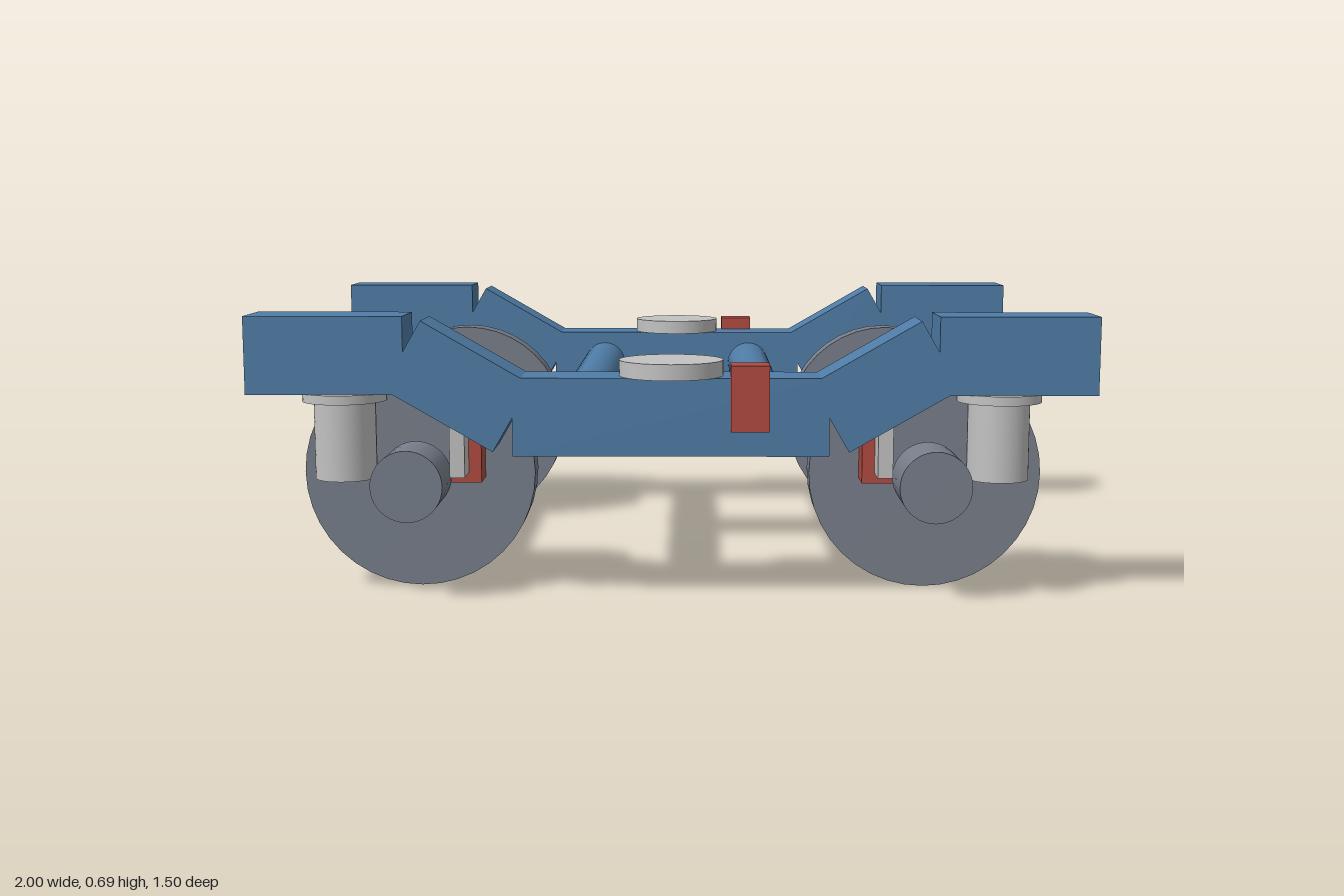
import * as THREE from 'three';

export function createModel() {
  const root = new THREE.Group();
  root.name = 'railBogie';

  const material = (name, color) => {
    const m = new THREE.MeshStandardMaterial({ color });
    m.name = name;
    return m;
  };
  const blue = material('frameBlue', 0x4f7ca6);
  const steel = material('wheelSteel', 0x777e8a);
  const silver = material('springSilver', 0xc2c2c2);
  const red = material('brakeRed', 0xb04a40);

  const add = (name, geometry, mat, x, y, z) => {
    const mesh = new THREE.Mesh(geometry, mat);
    mesh.name = name;
    mesh.position.set(x, y, z);
    root.add(mesh);
    return mesh;
  };
  const box = (name, mat, size, pos) => add(name, new THREE.BoxGeometry(...size), mat, ...pos);
  const cylinder = (name, mat, radius, length, pos, alongZ = false) => {
    const geometry = new THREE.CylinderGeometry(radius, radius, length, 40);
    if (alongZ) geometry.rotateX(Math.PI / 2);
    return add(name, geometry, mat, ...pos);
  };

  const frameZ = 0.625, frameW = 0.145, frameH = 0.185;
  const axleX = 0.625, axleY = 0.287;

  for (const sz of [-1, 1]) {
    const z = sz * frameZ;

    // Side frame centre, pivot pad and damper
    box('frameCentre', blue, [0.745, frameH, frameW], [0, 0.453, z]);
    cylinder('pivotPad', silver, 0.124, 0.038, [0, 0.564, z]);
    box('damper', red, [0.09, 0.155, 0.075], [0.185, 0.503, sz * 0.711]);

    for (const sx of [-1, 1]) {
      // Cranked ends of the side frame
      box('frameEnd', blue, [0.373, frameH, frameW], [sx * 0.8135, 0.5975, z]);
      const slope = box('frameSlope', blue, [0.298, frameH, frameW], [sx * 0.502, 0.525, z]);
      slope.rotation.z = sx * Math.PI / 6;

      // Suspension spring with its seat
      cylinder('spring', silver, 0.073, 0.205, [sx * 0.78, 0.4, z]);
      cylinder('springSeat', silver, 0.1, 0.022, [sx * 0.78, 0.495, z]);

      // Wheel, axle box and brake
      cylinder('wheel', steel, 0.286, 0.08, [sx * axleX, axleY, sz * 0.45], true);
      cylinder('axleBox', steel, 0.086, 0.158, [sx * axleX, axleY, z], true);
      box('brakeShoe', red, [0.075, 0.18, 0.09], [sx * 0.5, 0.365, sz * 0.525]);
      box('brakeHanger', silver, [0.036, 0.15, 0.075], [sx * 0.511, 0.375, sz * 0.61]);
    }
  }

  for (const sx of [-1, 1]) {
    // Axles and the cross tubes joining the side frames
    cylinder('axle', steel, 0.042, 1.11, [sx * axleX, axleY, 0], true);
    cylinder('crossTube', blue, 0.061, 1.15, [sx * 0.22, 0.452, 0], true);
  }

  // Plate between the cross tubes
  box('centrePlate', blue, [0.555, 0.037, 0.187], [0, 0.452, 0]);

  return root;
}
